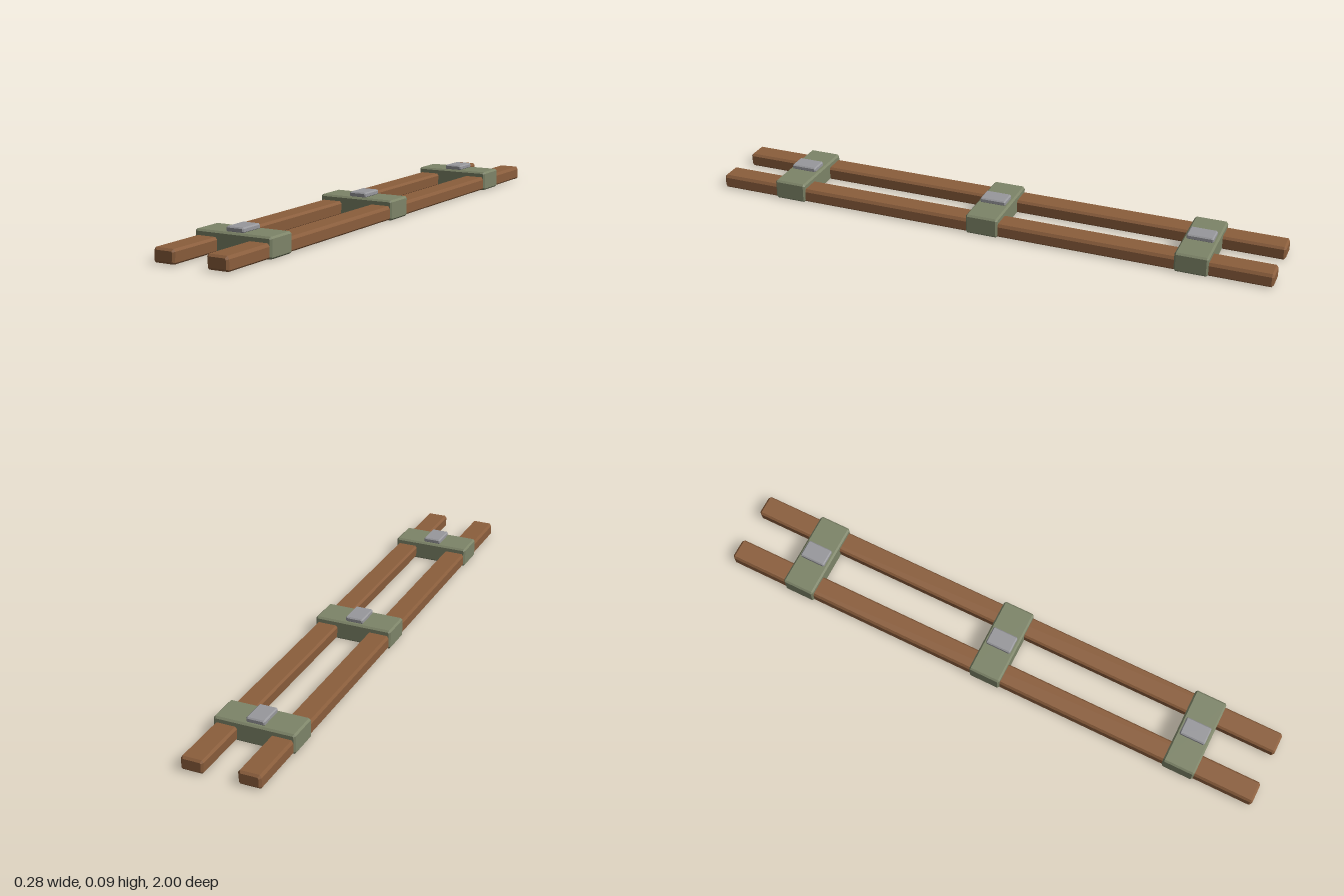
import * as THREE from 'three';

const wood = new THREE.MeshStandardMaterial({ color: 0x8b5e3c, flatShading: true });
const olive = new THREE.MeshStandardMaterial({ color: 0x7d8468, flatShading: true });
const metal = new THREE.MeshStandardMaterial({ color: 0x98989c, flatShading: true });

// Extrudes a cross-section along z, centred, with chamfered ends
function bar(name, points, length, chamfer, material) {
  const shape = new THREE.Shape(points.map(([x, y]) => new THREE.Vector2(x, y)));
  const geometry = new THREE.ExtrudeGeometry(shape, {
    depth: length - 2 * chamfer,
    bevelEnabled: true,
    bevelThickness: chamfer,
    bevelSize: chamfer,
    bevelOffset: -chamfer,
    bevelSegments: 1,
  });
  geometry.translate(0, 0, chamfer - length / 2);
  const mesh = new THREE.Mesh(geometry, material);
  mesh.name = name;
  return mesh;
}

// Rectangle with cut corners, standing on y = 0
function cutRect(w, h, c) {
  const x = w / 2;
  return [
    [-x + c, 0], [x - c, 0], [x, c], [x, h - c],
    [x - c, h], [-x + c, h], [-x, h - c], [-x, c],
  ];
}

export function createModel() {
  const model = new THREE.Group();
  model.name = 'railTrack';

  // Two long wooden rails, slightly narrower at the foot on the inner side
  const profile = [
    [0.063, 0.003], [0.13, 0.003], [0.134, 0.008], [0.134, 0.04],
    [0.128, 0.05], [0.063, 0.05], [0.057, 0.042], [0.059, 0.008],
  ];
  for (const side of [1, -1]) {
    const points = profile.map(([x, y]) => [side * x, y]);
    model.add(bar(side > 0 ? 'leftRail' : 'rightRail', points, 2, 0.007, wood));
  }

  // Three cross blocks, each with a small metal plate on top
  for (const z of [-0.73, 0, 0.73]) {
    const brace = new THREE.Group();
    brace.name = 'brace';
    const block = bar('crossBlock', cutRect(0.28, 0.069, 0.006), 0.115, 0.006, olive);
    const plate = bar('plate', cutRect(0.064, 0.018, 0.004), 0.092, 0.004, metal);
    plate.position.y = 0.067;
    brace.add(block, plate);
    brace.position.z = z;
    model.add(brace);
  }
  return model;
}
